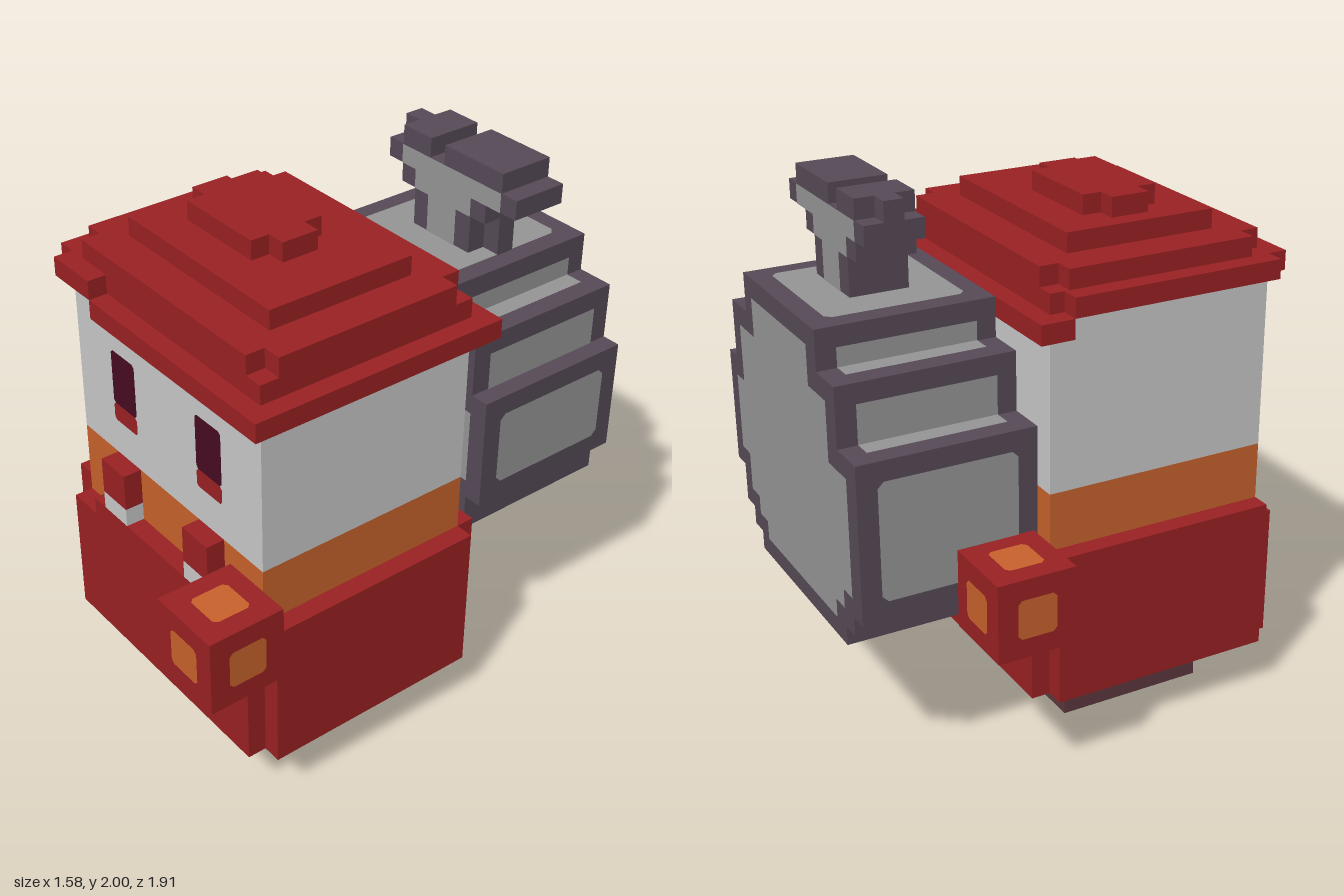
import * as THREE from 'three';

const U = 1 / 14; // one block of the grid
const mat = (name, color) => {
  const m = new THREE.MeshStandardMaterial({ color });
  m.name = name;
  return m;
};

export function createModel() {
  const red = mat('red cloth', 0x9b2123), white = mat('pale face', 0xc9c9c9);
  const orange = mat('orange', 0xc8622c), grey = mat('grey sack', 0x969696);
  const dark = mat('dark trim', 0x564a57), sole = mat('sole', 0x5c383d);
  const eye = mat('eye', 0x460b21);

  const model = new THREE.Group();
  model.name = 'figure';
  const part = (name, parent = model) => {
    const g = new THREE.Group();
    g.name = name;
    parent.add(g);
    return g;
  };
  // box from min and max corners, in blocks
  const box = (parent, name, m, x0, x1, y0, y1, z0, z1) => {
    const mesh = new THREE.Mesh(new THREE.BoxGeometry(x1 - x0, y1 - y0, z1 - z0), m);
    mesh.position.set((x0 + x1) / 2, (y0 + y1) / 2, (z0 + z1) / 2);
    mesh.name = name;
    parent.add(mesh);
  };
  // flat panel with cut corners, lying just off a face with normal n
  const Z = new THREE.Vector3(0, 0, 1);
  const panel = (parent, name, m, w, h, cut, centre, n) => {
    const a = w / 2, b = h / 2, c = cut;
    const pts = [[a - c, -b], [a, c - b], [a, b - c], [a - c, b], [c - a, b], [-a, b - c], [-a, c - b], [c - a, -b]];
    const mesh = new THREE.Mesh(new THREE.ShapeGeometry(new THREE.Shape(pts.map(p => new THREE.Vector2(...p)))), m);
    const normal = new THREE.Vector3(...n);
    if (n[2] < 0) mesh.rotation.y = Math.PI;
    else mesh.quaternion.setFromUnitVectors(Z, normal);
    mesh.position.set(...centre).addScaledVector(normal, 0.04);
    mesh.name = name;
    parent.add(mesh);
  };

  // legs
  for (const x of [-4.4, 1.6]) {
    const leg = part(x < 0 ? 'rightLeg' : 'leftLeg');
    box(leg, 'sole', sole, x, x + 5, 0, 1, -1.35, 6.65);
    box(leg, 'trouser', red, x, x + 5, 1, 3, -1.35, 6.65);
  }

  // robe with stepped corners and a dipped collar
  const robe = part('robe');
  box(robe, 'core', red, -6.4, 8.6, 3, 10, -3.35, 8.65);
  box(robe, 'rightSide', red, -7.4, -6.4, 3, 11, -3.35, 8.65);
  box(robe, 'leftSide', red, 8.6, 9.6, 3, 11, -3.35, 8.65);
  box(robe, 'back', red, -6.4, 8.6, 3, 11, -4.35, -3.35);
  box(robe, 'front', red, -6.4, 8.6, 3, 10, 8.65, 9.65);
  box(robe, 'collar', red, -4.4, 6.6, 10, 11, 8.65, 9.65);

  // head, eyes and hanging tufts
  const head = part('head');
  box(head, 'chin', orange, -6.4, 8.6, 10, 14, -3.35, 8.65);
  box(head, 'face', white, -6.4, 8.6, 14, 23, -3.35, 8.65);
  for (const x of [-3.4, 3.6]) {
    panel(head, 'eye', eye, 2, 3, 0.15, [x + 1, 18.5, 8.65], [0, 0, 1]);
    panel(head, 'lowerEye', red, 2, 1, 0.15, [x + 1, 16.5, 8.65], [0, 0, 1]);
    box(head, 'tuft', red, x, x + 2, 12, 14, 8.65, 9.65);
    box(head, 'tuftTip', white, x, x + 2, 11, 12, 8.65, 9.65);
  }

  // hat: brim lifted at one corner, then stacked layers
  const hat = part('hat');
  box(hat, 'brimFront', red, -3.4, 9.6, 22, 23, 8.65, 9.65);
  box(hat, 'brimLeft', red, 8.6, 9.6, 22, 23, -3.35, 8.65);
  box(hat, 'brimBack', red, -7.4, 9.6, 22, 23, -4.35, -3.35);
  box(hat, 'brimRight', red, -7.4, -6.4, 22, 23, -3.35, -2.6);
  box(hat, 'brimLiftFront', red, -6.4, -3.4, 23, 24, 8.65, 9.65);
  box(hat, 'brimLiftRight', red, -7.4, -6.4, 23, 24, -2.6, 8.65);
  box(hat, 'layer', red, -6.4, 8.6, 23, 24, -3.35, 8.65);
  box(hat, 'layer', red, -6.4, 8.6, 24, 25, -2.35, 7.65);
  box(hat, 'layer', red, -5.4, 7.6, 24, 25, -3.35, 8.65);
  box(hat, 'layer', red, -4.4, 6.6, 25, 26, -1.35, 6.65);
  box(hat, 'crown', red, -3.4, 3.6, 26, 27, 1.65, 3.65);
  box(hat, 'crown', red, -2.4, 2.6, 26, 27, 0.65, 4.65);

  // floating hands with an orange square on every face
  for (const [name, x, y, z] of [['leftHand', 9, 11.8, 11.3], ['rightHand', -9, 10.7, -6.55]]) {
    const hand = part(name);
    box(hand, 'block', red, x - 2, x + 2, y - 2, y + 2, z - 2, z + 2);
    for (const s of [-1, 1]) for (const n of [[s, 0, 0], [0, s, 0], [0, 0, s]])
      panel(hand, 'patch', orange, 2, 2, 0.2, [x + n[0] * 2, y + n[1] * 2, z + n[2] * 2], n);
  }

  // sack: stepped outline, dark edges, grey faces
  const sack = part('sack');
  const zf = -4.35, zb = -13.35, zm = (zf + zb) / 2;
  const outline = [[6, 23], [-3, 23], [-3, 21], [-5, 21], [-5, 18], [-7, 18], [-7, 10], [-6, 10], [-6, 9], [-5, 9], [-5, 8],
    [6, 8], [6, 9], [7, 9], [7, 10], [8, 10], [8, 12], [9, 12], [9, 18], [8, 18], [8, 21], [6, 21]]
    .map(p => new THREE.Vector2(...p));
  const N = outline.length;
  const dir = i => outline[(i + 1) % N].clone().sub(outline[i % N]).normalize();
  const out = i => { const d = dir(i); return new THREE.Vector2(d.y, -d.x); };
  const body = new THREE.Mesh(new THREE.ExtrudeGeometry(new THREE.Shape(outline), { depth: zf - zb, bevelEnabled: false }), dark);
  body.position.z = zb;
  body.name = 'sackBody';
  sack.add(body);
  // large grey back and front, one block inside the outline
  const inset = outline.map((p, i) => p.clone().sub(out(i)).sub(out((i + N - 1) % N)));
  const face = new THREE.ShapeGeometry(new THREE.Shape(inset));
  const front = new THREE.Mesh(face, grey);
  front.position.z = zf + 0.04;
  front.name = 'sackFront';
  const back = new THREE.Mesh(face.clone().scale(-1, 1, 1), grey);
  back.rotation.y = Math.PI;
  back.position.z = zb - 0.04;
  back.name = 'sackBack';
  // scale(-1) flips the winding, so swap two corners of each triangle
  const idx = back.geometry.index;
  for (let i = 0; i < idx.count; i += 3) {
    const t = idx.getX(i);
    idx.setX(i, idx.getX(i + 1));
    idx.setX(i + 1, t);
  }
  back.geometry.computeVertexNormals();
  sack.add(front, back);
  // grey strips around the rim, trimmed by a block at each outer corner
  const convex = i => dir((i + N - 1) % N).cross(dir(i)) > 0;
  for (let i = 0; i < N; i++) {
    const d = dir(i), n = out(i), j = (i + 1) % N;
    const special = outline[i].x === 6 && outline[i].y === 8;
    const a = outline[i].clone().addScaledVector(d, convex(i) && !special ? 1 : 0);
    const b = outline[j].clone().addScaledVector(d, convex(j) ? -1 : 0);
    const len = b.clone().sub(a).dot(d);
    if (len < 0.5) continue;
    const c = a.add(b).multiplyScalar(0.5), side = Math.abs(n.x) > 0.5;
    panel(sack, 'rimPanel', grey, side ? 7 : len, side ? len : 7, len > 3 ? 0.3 : 0, [c.x, c.y, zm], [n.x, n.y, 0]);
  }

  // gathered neck of the sack, widening to a split frill
  const neck = part('sackNeck', sack);
  const z0 = -10.35, z1 = -7.35;
  for (const [y, a, b] of [[23, 0, 4], [24, 0, 4], [25, -1, 5], [26, -2, 7]]) {
    box(neck, 'fold', dark, a, b, y, y + 1, z0, z1);
    for (const s of [-1, 1])
      panel(neck, 'foldFace', grey, b - a - 2, 1, 0, [(a + b) / 2, y + 0.5, s > 0 ? z1 : z0], [0, 0, s]);
  }
  box(neck, 'frill', dark, -1, 1, 27, 28, z0, z1);
  box(neck, 'frillTip', dark, -2, -1, 27, 28, z0 + 1, z1 - 1);
  box(neck, 'frill', dark, 2, 6, 27, 28, z0, z1);
  box(neck, 'knot', dark, 4, 5, 23, 25, z0 + 1, z1 - 1);

  model.scale.setScalar(U);
  return model;
}
